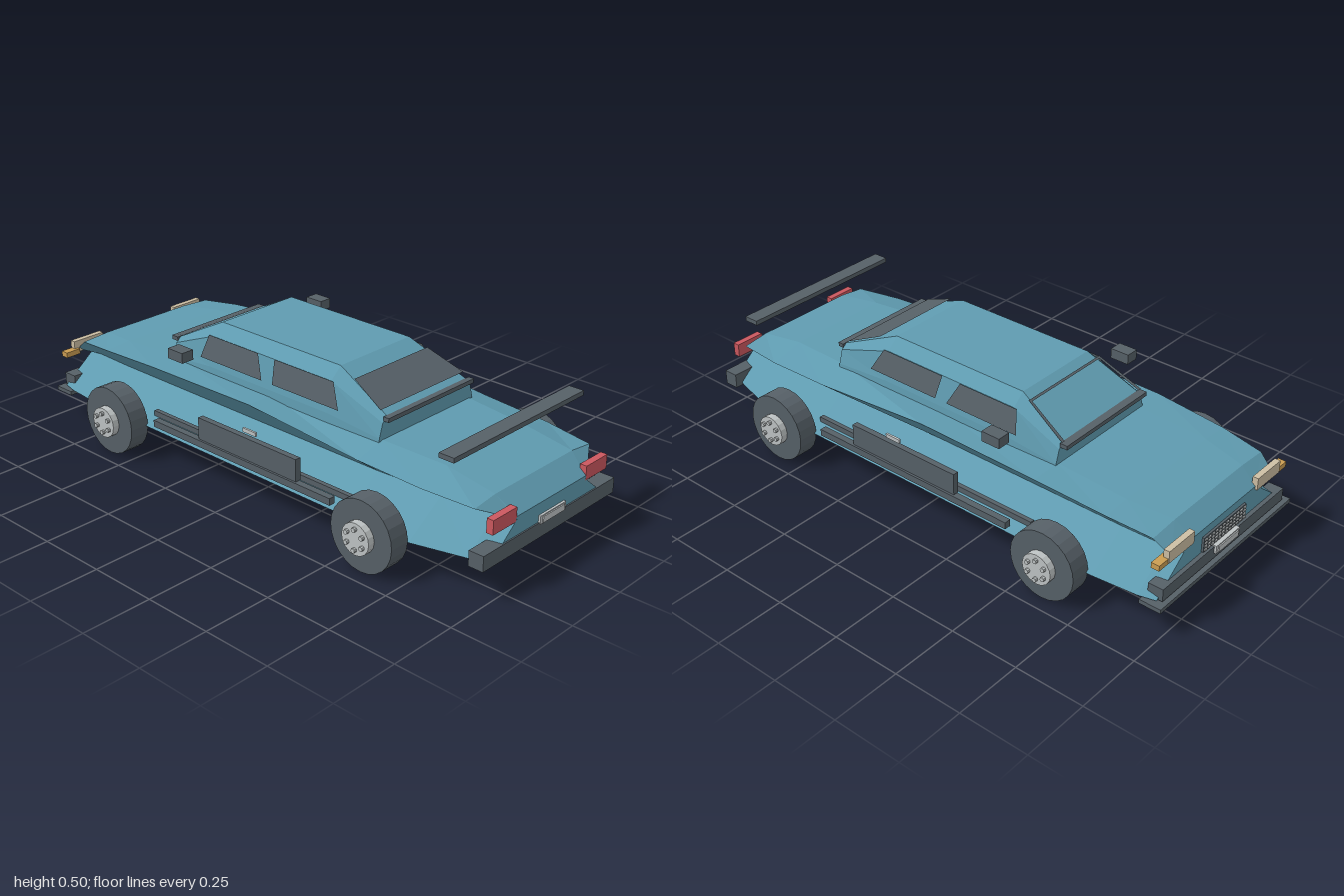
import * as THREE from 'three';

const mat = (name, color, side = THREE.FrontSide) =>
  Object.assign(new THREE.MeshStandardMaterial({ color, side, flatShading: true }), { name });

export function createModel() {
  const car = new THREE.Group();
  car.name = 'car';
  const paint = mat('bluePaint', 0x5f9bb0);
  const trim = mat('darkTrim', 0x566067, THREE.DoubleSide);
  const metal = mat('lightMetal', 0xbec3c4);
  const red = mat('tailRed', 0xcb585f);
  const cream = mat('lampCream', 0xcdbfa4);
  const amber = mat('indicatorAmber', 0xcb9d52);

  const add = (name, geo, material, parent = car) => {
    const m = new THREE.Mesh(geo, material);
    m.name = name;
    parent.add(m);
    return m;
  };
  // Box given by its limits on each axis
  const box = (name, material, x0, x1, y0, y1, z0, z1) => {
    const m = add(name, new THREE.BoxGeometry(x1 - x0, y1 - y0, z1 - z0), material);
    m.position.set((x0 + x1) / 2, (y0 + y1) / 2, (z0 + z1) / 2);
    return m;
  };
  const pair = (name, material, x0, x1, ...rest) => {
    box(name + 'Left', material, x0, x1, ...rest);
    box(name + 'Right', material, -x1, -x0, ...rest);
  };
  // Flat panel through four corners
  const quad = (name, material, a, b, c, d) => {
    const g = new THREE.BufferGeometry();
    g.setAttribute('position', new THREE.Float32BufferAttribute([a, b, c, a, c, d].flat(), 3));
    g.computeVertexNormals();
    return add(name, g, material);
  };
  // Mirrored loft: each station is z plus half-section points from bottom to top, z increasing
  const loft = (stations) => {
    const rings = stations.map(([z, ...half]) => [
      ...half.map(([x, y]) => [x, y, z]),
      ...half.slice().reverse().map(([x, y]) => [-x, y, z]),
    ]);
    const n = rings[0].length, p = [];
    const face = (a, b, c, d) => p.push(...a, ...b, ...c, ...a, ...c, ...d);
    for (let i = 0; i + 1 < rings.length; i++) {
      const r = rings[i], s = rings[i + 1];
      for (let j = 0; j < n; j++) face(r[j], r[(j + 1) % n], s[(j + 1) % n], s[j]);
    }
    const a = rings[0], b = rings[rings.length - 1];
    for (let j = 0; j < n / 2 - 1; j++) {
      face(b[j], b[j + 1], b[n - 2 - j], b[n - 1 - j]);
      face(a[n - 1 - j], a[n - 2 - j], a[j + 1], a[j]);
    }
    const g = new THREE.BufferGeometry();
    g.setAttribute('position', new THREE.Float32BufferAttribute(p, 3));
    g.computeVertexNormals();
    return g;
  };

  // Hull: floor edge, pinched waist, flared shoulder, deck edge
  const hull = [
    [-0.97, 0.355, 0.22, 0.29, 0.25, 0.18, 0.255],
    [-0.91, 0.37, 0.23, 0.305, 0.298, 0.19, 0.305],
    [-0.75, 0.385, 0.235, 0.325, 0.315, 0.22, 0.322],
    [-0.48, 0.385, 0.235, 0.338, 0.333, 0.22, 0.336],
    [0, 0.385, 0.235, 0.338, 0.34, 0.22, 0.335],
    [0.48, 0.385, 0.235, 0.333, 0.3, 0.22, 0.332],
    [0.73, 0.375, 0.22, 0.325, 0.288, 0.2, 0.32],
    [0.915, 0.325, 0.19, 0.3, 0.278, 0.2, 0.29],
    [0.985, 0.3, 0.18, 0.187, 0.228, 0.18, 0.232],
  ];
  add('body', loft(hull.map(([z, b, w, s, sy, t, ty]) =>
    [z, [b, 0.122], [w, z > 0.95 ? 0.222 : 0.227], [s, sy], [t, ty]])), paint);

  // Cabin with sloping ends
  const low = [[0.24, 0.29], [0.235, 0.34], [0.22, 0.39], [0.2, 0.408]];
  const high = [[0.245, 0.29], [0.238, 0.36], [0.215, 0.465], [0.17, 0.505]];
  add('cabin', loft([[-0.485, ...low], [-0.295, ...high], [0.26, ...high], [0.485, ...low]]), paint);

  // Side windows
  for (const s of [1, -1]) {
    const side = s > 0 ? 'Left' : 'Right';
    const win = (name, z0, z1, z2, z3) => quad(name + side, trim,
      [s * 0.246, 0.388, z0], [s * 0.246, 0.388, z1], [s * 0.221, 0.468, z2], [s * 0.221, 0.468, z3]);
    win('rearSideWindow', 0.318, 0.02, 0.008, 0.275);
    win('frontSideWindow', -0.03, -0.33, -0.31, -0.07);
  }
  // Rear glass and windscreen frame lie just above the sloping cabin ends
  const rearPt = (x, z) => [x, 0.416 + (0.485 - z) * 0.43, z];
  quad('rearWindow', trim, rearPt(-0.208, 0.465), rearPt(0.208, 0.465), rearPt(0.182, 0.33), rearPt(-0.182, 0.33));
  box('rearWindowSill', trim, -0.215, 0.215, 0.395, 0.41, 0.483, 0.505);
  const frontPt = (x, z) => [x, 0.416 + (0.485 + z) * 0.51, z];
  box('windscreenSill', trim, -0.215, 0.215, 0.395, 0.41, -0.512, -0.483);
  for (const s of [1, -1])
    quad('windscreenPillar', trim, frontPt(s * 0.213, -0.49), frontPt(s * 0.2, -0.49),
      frontPt(s * 0.178, -0.34), frontPt(s * 0.188, -0.34));
  quad('windscreenHeader', trim, frontPt(-0.188, -0.34), frontPt(0.188, -0.34),
    frontPt(0.186, -0.332), frontPt(-0.186, -0.332));

  // Bumpers, lip and spoiler
  box('rearBumper', trim, -0.345, 0.345, 0.112, 0.166, 0.935, 0.99);
  box('frontBumper', trim, -0.345, 0.345, 0.12, 0.166, -0.985, -0.93);
  box('frontLip', trim, -0.375, 0.375, 0.1, 0.115, -1, -0.92);
  box('spoiler', trim, -0.333, 0.333, 0.42, 0.437, 0.8, 0.857);

  // Side trim, mirrors and handles
  pair('skirt', trim, 0.375, 0.4, 0.145, 0.17, -0.415, 0.425);
  pair('sill', trim, 0.328, 0.345, 0.145, 0.17, -0.475, 0.485);
  pair('doorPanel', trim, 0.37, 0.392, 0.17, 0.25, -0.19, 0.27);
  pair('mirror', trim, 0.317, 0.367, 0.411, 0.448, -0.36, -0.288);
  pair('doorHandle', metal, 0.396, 0.404, 0.278, 0.292, 0.04, 0.1);

  // Lamps
  pair('tailLamp', red, 0.182, 0.298, 0.215, 0.265, 0.96, 0.985);
  pair('headLamp', cream, 0.18, 0.315, 0.243, 0.288, -0.978, -0.957);
  pair('indicator', amber, 0.3, 0.361, 0.24, 0.26, -0.975, -0.945);

  // Number plates, each with a raised border
  for (const s of [1, -1]) {
    const y = s > 0 ? 0.175 : 0.155;
    const span = (a, b) => (s > 0 ? [a, b] : [-b, -a]);
    box('plateFrame', metal, -0.067, 0.067, y - 0.015, y + 0.015, ...span(0.975, 0.993));
    box('plate', metal, -0.056, 0.056, y - 0.011, y + 0.011, ...span(0.993, 0.997));
  }

  // Grille with rows of small light bars
  box('grille', trim, -0.12, 0.12, 0.17, 0.225, -0.978, -0.965);
  for (let r = 0; r < 4; r++)
    for (let c = 0; c < 12; c++) {
      const x = -0.11 + c * 0.02, y = 0.178 + r * 0.013;
      box('grilleCell', metal, x - 0.006, x + 0.006, y - 0.003, y + 0.003, -0.982, -0.977);
    }

  // Wheels: tyre, hub and five bolts along the axle
  for (const s of [1, -1])
    for (const z of [-0.603, 0.602]) {
      const wheel = new THREE.Group();
      wheel.name = (z < 0 ? 'front' : 'rear') + 'Wheel' + (s > 0 ? 'Left' : 'Right');
      wheel.position.set(s * 0.4125, 0.125, z);
      wheel.rotation.z = -s * Math.PI / 2;
      car.add(wheel);
      add('tyre', new THREE.CylinderGeometry(0.125, 0.125, 0.075, 24), trim, wheel);
      add('hub', new THREE.CylinderGeometry(0.056, 0.056, 0.026, 16), metal, wheel).position.y = 0.05;
      for (let i = 0; i < 6; i++) {
        const a = i * Math.PI / 3;
        add('bolt', new THREE.CylinderGeometry(0.008, 0.008, 0.012, 8), metal, wheel)
          .position.set(Math.cos(a) * 0.036, 0.068, Math.sin(a) * 0.036);
      }
    }
  return car;
}
